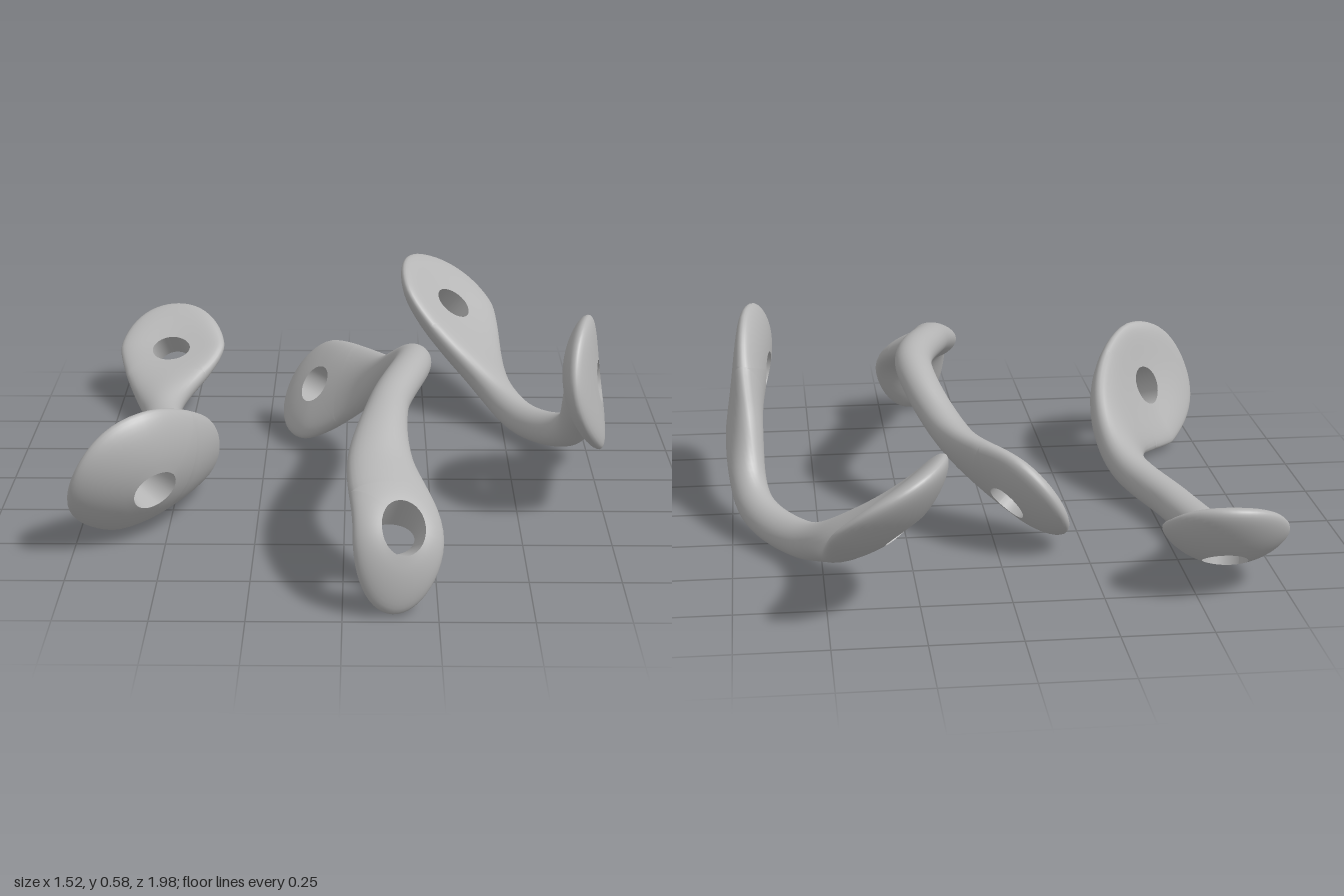
import * as THREE from 'three';
import { mergeVertices, mergeGeometries } from 'three/addons/utils/BufferGeometryUtils.js';

const NECK_STEPS = 48, ACROSS = 16, TIP_STEPS = 18, RADIAL = 10;
const smooth = (a, b, x) => THREE.MathUtils.smoothstep(x, a, b);
const vectors = (list) => list.map((p) => new THREE.Vector3(...p));

// A twisted link along a spine whose second and second-to-last points are the
// eye centres; widths are the sideways directions at its start, middle and end.
// Each end has a half width, a fade length into the neck and a cupped bend.
function linkGeometry({ points, widths, start, end, neck, thick, holeRadius }) {
  const pts = vectors(points);
  const spine = new THREE.CatmullRomCurve3(pts, false, 'centripetal');
  const across = new THREE.CatmullRomCurve3(vectors(widths), false, 'catmullrom');
  const length = spine.getLength();
  const reachStart = pts[0].distanceTo(pts[1]);
  const reachEnd = pts.at(-1).distanceTo(pts.at(-2));

  // Rounded tip, then a paddle that fades into the neck
  const tip = (s) => {
    const d = Math.max(0, 1 - s / reachStart, 1 - (length - s) / reachEnd);
    return Math.sqrt(Math.max(0, 1 - d * d));
  };
  const paddle = (s, reach, e) => (e.width - neck) * (1 - smooth(reach * 0.8, reach + e.fade, s));
  const halfWidth = (s) => tip(s) * (neck + paddle(s, reachStart, start) + paddle(length - s, reachEnd, end));

  // Maps distance s, offset v and face (+1 or -1) to space
  const place = ([s, v], face) => {
    const u = THREE.MathUtils.clamp(s / length, 0, 1);
    const t = spine.getTangentAt(u);
    const blend = smooth(0.1, 0.9, u);
    const w = across.getPoint(blend);
    w.addScaledVector(t, -w.dot(t)).normalize();
    const normal = t.clone().cross(w);
    const half = halfWidth(s);
    const ratio = half > 1e-6 ? Math.min(1, Math.abs(v) / half) : 1;
    const h = thick * tip(s) * Math.sqrt(1 - ratio * ratio);
    const bend = THREE.MathUtils.lerp(start.cup, end.cup, blend) * v * v;
    return spine.getPointAt(u).addScaledVector(w, v).addScaledVector(normal, h * face + bend);
  };

  const skin = [], wall = [];
  const addGrid = (out, rows, flip) => {
    for (let i = 0; i < rows.length - 1; i++) {
      for (let j = 0; j < rows[i].length - 1; j++) {
        const a = rows[i][j], b = rows[i + 1][j], c = rows[i + 1][j + 1], d = rows[i][j + 1];
        for (const p of flip ? [a, c, b, a, d, c] : [a, b, c, a, c, d]) out.push(p.x, p.y, p.z);
      }
    }
  };
  const addFaces = (rows) => {
    for (const face of [1, -1]) addGrid(skin, rows.map((r) => r.map((p) => place(p, face))), face < 0);
  };
  const crossRow = (s) => Array.from({ length: ACROSS + 1 }, (_, j) =>
    [s, -halfWidth(s) * Math.cos((j / ACROSS) * Math.PI)]);

  // Eye: rings from the hole out to the paddle rim
  const addEye = (centre, cut, far) => {
    const outline = [];
    for (let i = -TIP_STEPS; i <= TIP_STEPS; i++) {
      const d = (far ? length - cut : cut) * (1 - Math.cos((i / TIP_STEPS) * Math.PI / 2));
      const s = Math.abs(i) === TIP_STEPS ? cut : far ? length - d : d;
      outline.push([s, (far ? 1 : -1) * Math.sign(i) * halfWidth(s)]);
    }
    const row = crossRow(cut);
    if (far) row.reverse();
    outline.push(...row.slice(1));
    const rings = [];
    for (let k = 0; k <= RADIAL; k++) {
      const f = Math.sin((k / RADIAL) * Math.PI / 2);
      rings.push(outline.map(([s, v]) => {
        const angle = Math.atan2(v, s - centre);
        const hs = centre + holeRadius * Math.cos(angle), hv = holeRadius * Math.sin(angle);
        return k === RADIAL ? [s, v] : [hs + (s - hs) * f, hv + (v - hv) * f];
      }));
    }
    addFaces(rings);
    addGrid(wall, [-1, 1].map((face) => rings[0].map((p) => place(p, face))), false);
  };

  const cutStart = reachStart + holeRadius + 0.06, cutEnd = length - reachEnd - holeRadius - 0.06;
  addEye(reachStart, cutStart, false);
  addEye(length - reachEnd, cutEnd, true);
  addFaces(Array.from({ length: NECK_STEPS + 1 }, (_, i) =>
    crossRow(THREE.MathUtils.lerp(cutStart, cutEnd, i / NECK_STEPS))));

  // Smooth skin and smooth hole wall, with a crisp edge between them
  return mergeGeometries([skin, wall].map((data) => {
    const g = new THREE.BufferGeometry();
    g.setAttribute('position', new THREE.Float32BufferAttribute(data, 3));
    const merged = mergeVertices(g, 1e-4);
    merged.computeVertexNormals();
    return merged;
  }));
}

export function createModel() {
  const model = new THREE.Group();
  model.name = 'twistedLinks';
  const grey = new THREE.MeshStandardMaterial({ color: 0xb4b4b4 });
  grey.name = 'grey';
  const addLink = (name, spec) => {
    const mesh = new THREE.Mesh(linkGeometry(spec), grey);
    mesh.name = name;
    model.add(mesh);
  };

  // Low link with a broad upright front paddle
  addLink('rightLink', {
    points: [[-0.57, 0.29, -0.88], [-0.58, 0.14, -0.73], [-0.595, 0.07, -0.47], [-0.545, 0.06, -0.2],
      [-0.45, 0.095, 0.07], [-0.455, 0.16, 0.31], [-0.55, 0.195, 0.495], [-0.745, 0.22, 0.62]],
    widths: [[1, 0.1, 0], [0.8, 0.45, -0.05], [0.28, 0.9, 0.24]],
    start: { width: 0.175, fade: 0.36, cup: 1.3 }, end: { width: 0.21, fade: 0.62, cup: 1.1 },
    neck: 0.058, thick: 0.054, holeRadius: 0.062,
  });

  // Arched link in the middle
  addLink('middleLink', {
    points: [[-0.19, 0.11, -0.46], [-0.065, 0.17, -0.34], [0.09, 0.265, -0.17], [0.195, 0.41, 0.1],
      [0.12, 0.395, 0.45], [0.1, 0.32, 0.67], [0.145, 0.21, 0.89], [0.13, 0.01, 0.965]],
    widths: [[0.37, 0.8, -0.47], [0.88, 0.25, -0.2], [0.95, -0.2, -0.23]],
    start: { width: 0.17, fade: 0.4, cup: 0.5 }, end: { width: 0.125, fade: 0.55, cup: 0 },
    neck: 0.056, thick: 0.052, holeRadius: 0.06,
  });

  // Sagging link with both paddles raised
  addLink('leftLink', {
    points: [[0.255, 0.44, -0.96], [0.32, 0.285, -0.8], [0.435, 0.15, -0.59], [0.555, 0.065, -0.38],
      [0.68, 0.1, -0.18], [0.705, 0.26, 0.01], [0.68, 0.385, 0.21], [0.64, 0.43, 0.4]],
    widths: [[0.69, -0.28, -0.58], [0.5, -0.65, -0.2], [0.1, -0.95, 0.25]],
    start: { width: 0.2, fade: 0.48, cup: 1.2 }, end: { width: 0.195, fade: 0.42, cup: 0.9 },
    neck: 0.054, thick: 0.052, holeRadius: 0.064,
  });
  return model;
}
